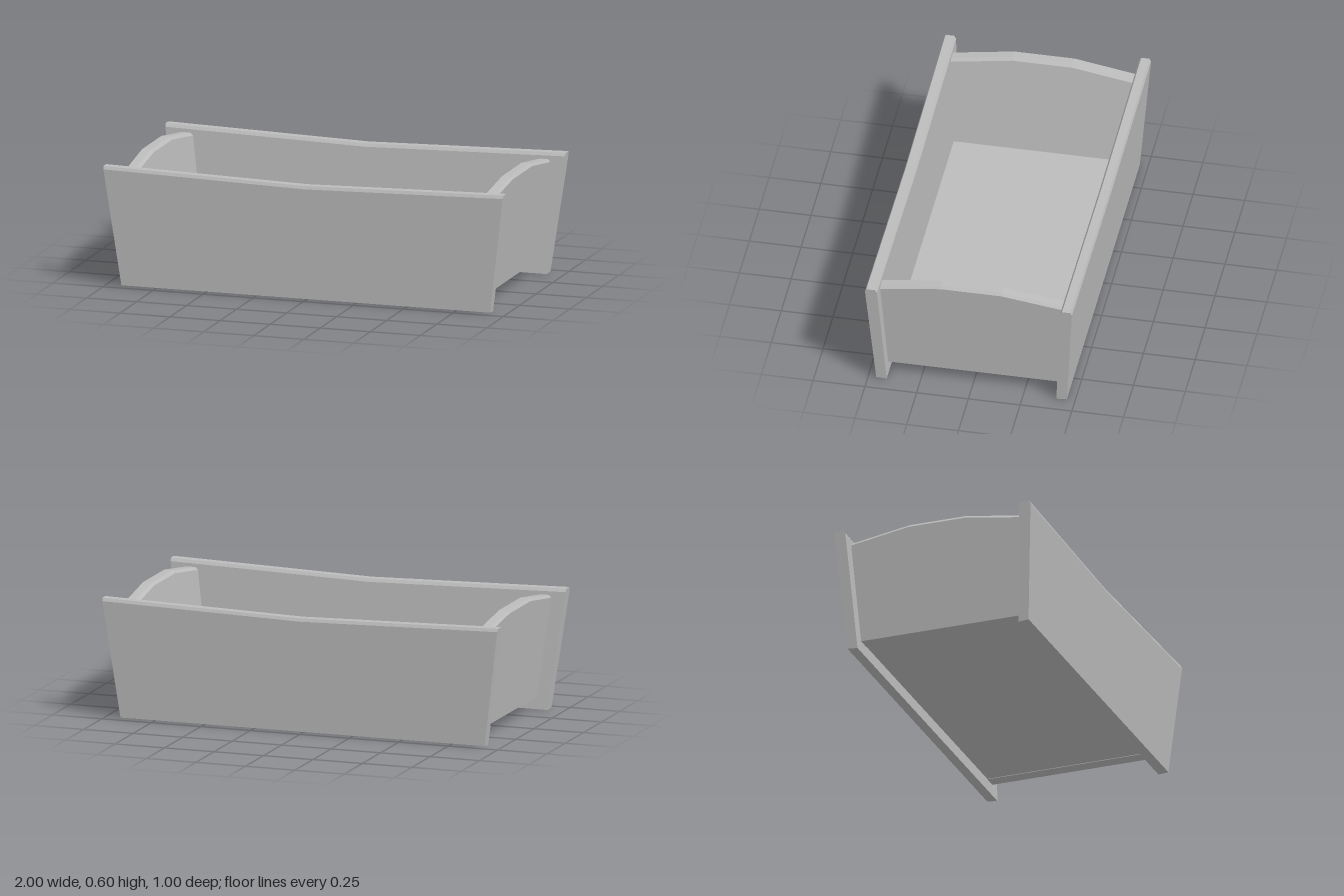
import * as THREE from 'three';

// Skins a row of matching rings (each counter-clockwise about the sweep axis) and caps both ends.
function loft(rings) {
  const out = [];
  const tri = (a, b, c) => out.push(...a, ...b, ...c);
  const n = rings[0].length;
  for (let k = 0; k < rings.length - 1; k++) {
    for (let i = 0; i < n; i++) {
      const j = (i + 1) % n;
      const a = rings[k][i], b = rings[k][j], c = rings[k + 1][j], d = rings[k + 1][i];
      tri(a, b, c);
      tri(a, c, d);
    }
  }
  const first = rings[0], last = rings[rings.length - 1];
  for (let i = 1; i < n - 1; i++) {
    tri(first[0], first[i + 1], first[i]);
    tri(last[0], last[i], last[i + 1]);
  }
  const g = new THREE.BufferGeometry();
  g.setAttribute('position', new THREE.Float32BufferAttribute(out, 3));
  g.computeVertexNormals();
  return g;
}

// Leaning long board: slanted ends, chamfered top edge that dips in the middle.
function sideBoardGeometry() {
  const innerZ = y => 0.41 + 0.056 * y;
  const outerZ = y => 0.46 + 0.07 * y;
  return loft([-1, 0, 1].map(s => {
    const dip = s === 0 ? 0.025 : 0;
    const shoulder = 0.572 - dip, crest = 0.587 - dip;
    const section = [
      [0, innerZ(0)],
      [shoulder, innerZ(shoulder)],
      [crest, innerZ(crest) + 0.009],
      [crest, outerZ(crest) - 0.008],
      [shoulder, outerZ(shoulder)],
      [0.004, outerZ(0.004)],
    ];
    return section.map(([y, z]) => [s * (0.92 + 0.136 * y), y, z]);
  }));
}

// Leaning end panel: chamfered top rising in two slopes to a flat centre.
function endPanelGeometry() {
  const base = 0.06;
  const innerX = y => 0.79 + 0.128 * y;
  const outerX = y => 0.856 + 0.128 * y;
  const edgeZ = y => 0.415 + 0.056 * y;
  const stations = [[-1, 0.552], [-0.145, 0.598], [0.145, 0.598], [1, 0.552]];
  return loft(stations.map(([s, crest]) => {
    const shoulder = crest - 0.013;
    const section = [
      [innerX(base), base],
      [outerX(base), base],
      [outerX(shoulder), shoulder],
      [outerX(crest) - 0.012, crest],
      [innerX(crest) + 0.012, crest],
      [innerX(shoulder), shoulder],
    ];
    return section.map(([x, y]) => [x, y, Math.abs(s) === 1 ? s * edgeZ(y) : s]);
  }));
}

export function createModel() {
  const model = new THREE.Group();
  model.name = 'plankTrough';
  const grey = new THREE.MeshStandardMaterial({ color: 0xbcbcbc });
  grey.name = 'plain grey';

  const add = (name, geometry, turn = 0) => {
    const mesh = new THREE.Mesh(geometry, grey);
    mesh.name = name;
    mesh.rotation.y = turn;
    model.add(mesh);
    return mesh;
  };

  // Two long boards and two end panels, the second of each turned half round
  const board = sideBoardGeometry();
  add('frontBoard', board);
  add('backBoard', board, Math.PI);
  const panel = endPanelGeometry();
  add('leftEndPanel', panel);
  add('rightEndPanel', panel, Math.PI);

  // Floor between the four walls
  add('floor', new THREE.BoxGeometry(1.62, 0.045, 0.84)).position.y = 0.085;

  return model;
}
